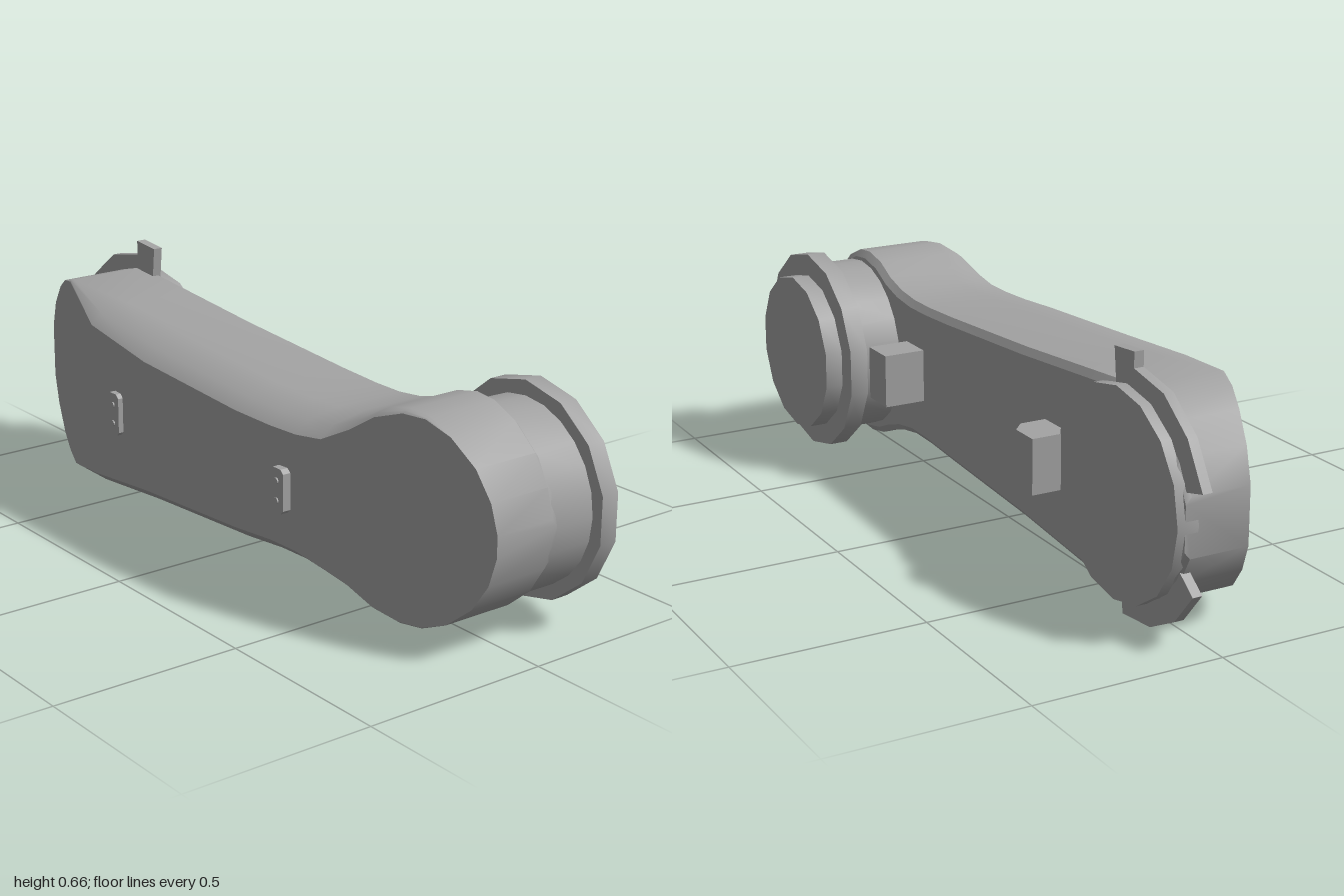
import * as THREE from 'three';
import { toCreasedNormals } from 'three/addons/utils/BufferGeometryUtils.js';

const grey = new THREE.MeshStandardMaterial({ color: 0xa3a3a3 });
grey.name = 'grey metal';
const MID = 0.312;

export function createModel() {
  const group = new THREE.Group();
  const add = (name, geometry, crease = 0.6) => {
    const mesh = new THREE.Mesh(toCreasedNormals(geometry, crease), grey);
    mesh.name = name;
    group.add(mesh);
    return mesh;
  };

  // Arm body: cross-sections along x
  // x, outer top, front-edge top, front-edge bottom, outer bottom, front z
  const stations = [
    [-0.945, 0.385, 0.385, 0.235, 0.235, 0.1],
    [-0.905, 0.465, 0.465, 0.16, 0.16, 0.114],
    [-0.84, 0.53, 0.53, 0.092, 0.092, 0.136],
    [-0.78, 0.565, 0.565, 0.06, 0.06, 0.157],
    [-0.715, 0.582, 0.578, 0.042, 0.046, 0.179],
    [-0.48, 0.562, 0.522, 0.1, 0.06, 0.26],
    [-0.2, 0.538, 0.492, 0.137, 0.086, 0.28],
    [0.2, 0.512, 0.468, 0.16, 0.11, 0.28],
    [0.33, 0.506, 0.462, 0.167, 0.119, 0.27],
    [0.42, 0.506, 0.462, 0.164, 0.12, 0.262],
    [0.5, 0.515, 0.47, 0.147, 0.107, 0.25],
    [0.57, 0.535, 0.507, 0.115, 0.085, 0.221],
    [0.63, 0.565, 0.549, 0.075, 0.06, 0.196],
    [0.7, 0.58, 0.572, 0.053, 0.046, 0.17],
    [0.76, 0.574, 0.57, 0.054, 0.05, 0.152],
    [0.83, 0.543, 0.543, 0.081, 0.081, 0.137],
    [0.9, 0.484, 0.484, 0.14, 0.14, 0.122],
    [0.945, 0.413, 0.413, 0.211, 0.211, 0.114],
    [0.965, 0.34, 0.34, 0.284, 0.284, 0.11],
  ];
  const half = (outer, inner, zf) => {
    const d = outer - inner, a = Math.abs(d), s = Math.sign(outer - MID);
    return [
      [outer - s * 0.018, -0.075], [outer, -0.06], [outer, zf - 3 * a],
      [inner + 0.65 * d, zf - 0.8 * a], [inner, zf],
    ];
  };
  const pos = [], index = [], n = 10, last = (stations.length - 1) * n;
  stations.forEach(([x, ot, it, ib, ob, zf], i) => {
    const ring = [...half(ot, it, zf), ...half(ob, ib, zf).reverse()];
    ring.forEach(([y, z]) => pos.push(x, y, z));
    if (!i) return;
    for (let j = 0; j < n; j++) {
      const a = (i - 1) * n + j, b = (i - 1) * n + (j + 1) % n;
      index.push(a, b, b + n, a, b + n, a + n);
    }
  });
  for (let j = 1; j < n - 1; j++) index.push(0, j + 1, j, last, last + j, last + j + 1);
  const body = new THREE.BufferGeometry();
  body.setAttribute('position', new THREE.Float32BufferAttribute(pos, 3));
  body.setIndex(index);
  add('armBody', body);

  // Round parts with their axis along z
  const disc = (name, x, r, z0, z1, sides = 16) => {
    const g = new THREE.CylinderGeometry(r, r, z1 - z0, sides).rotateX(Math.PI / 2);
    add(name, g.translate(x, MID, (z0 + z1) / 2));
  };
  disc('leftEndDisc', -0.682, 0.266, -0.097, -0.04);
  disc('hubDrum', 0.725, 0.238, -0.2, -0.06, 24);
  disc('hubFlange', 0.722, 0.277, -0.242, -0.192, 14);
  disc('hubCap', 0.722, 0.217, -0.29, -0.235, 14);

  // Extruded outlines in the xy plane
  const plate = (name, points, z0, z1) => {
    const shape = new THREE.Shape(points.map(([x, y]) => new THREE.Vector2(x, y)));
    const g = new THREE.ExtrudeGeometry(shape, { depth: z1 - z0, bevelEnabled: false });
    add(name, g.translate(0, 0, z0));
  };
  // Partial collars round the left end
  plate('upperCollar', [
    [-1, 0.41], [-0.935, 0.52], [-0.835, 0.597], [-0.71, 0.622], [-0.71, 0.662],
    [-0.625, 0.655], [-0.635, 0.56], [-0.72, 0.55], [-0.82, 0.51], [-0.89, 0.43], [-0.92, 0.39],
  ], -0.068, -0.042);
  plate('lowerCollar', [
    [-0.972, 0.152], [-0.9, 0.065], [-0.8, 0.013], [-0.68, 0.002], [-0.67, 0.07],
    [-0.78, 0.08], [-0.86, 0.14], [-0.91, 0.2],
  ], -0.068, -0.042);

  // Rear posts: bevelled profile in xz, extruded along y
  const post = (name, profile, y0, y1) => {
    const shape = new THREE.Shape(profile.map(([x, z]) => new THREE.Vector2(x, -z)));
    const g = new THREE.ExtrudeGeometry(shape, { depth: y1 - y0, bevelEnabled: false });
    add(name, g.rotateX(-Math.PI / 2).translate(0, y0, 0));
  };
  post('leftPost', [
    [-0.435, -0.06], [-0.32, -0.06], [-0.32, -0.145], [-0.355, -0.177], [-0.435, -0.177],
  ], 0.24, 0.385);
  post('rightPost', [[0.342, -0.06], [0.442, -0.06], [0.442, -0.19], [0.342, -0.19]], 0.24, 0.385);

  // Small front plates with two screws each
  for (const [side, x] of [['left', 0.377], ['right', -0.343]]) {
    const w = 0.025, y0 = 0.255, y1 = 0.37, c = 0.01;
    plate(side + 'FrontPlate', [
      [x - w + c, y0], [x + w - c, y0], [x + w, y0 + c], [x + w, y1 - c],
      [x + w - c, y1], [x - w + c, y1], [x - w, y1 - c], [x - w, y0 + c],
    ], 0.25, 0.286);
    for (const y of [0.287, 0.338]) {
      const g = new THREE.CylinderGeometry(0.008, 0.008, 0.008, 10).rotateX(Math.PI / 2);
      add(side + 'PlateScrew', g.translate(x, y, 0.286));
    }
  }
  return group;
}
